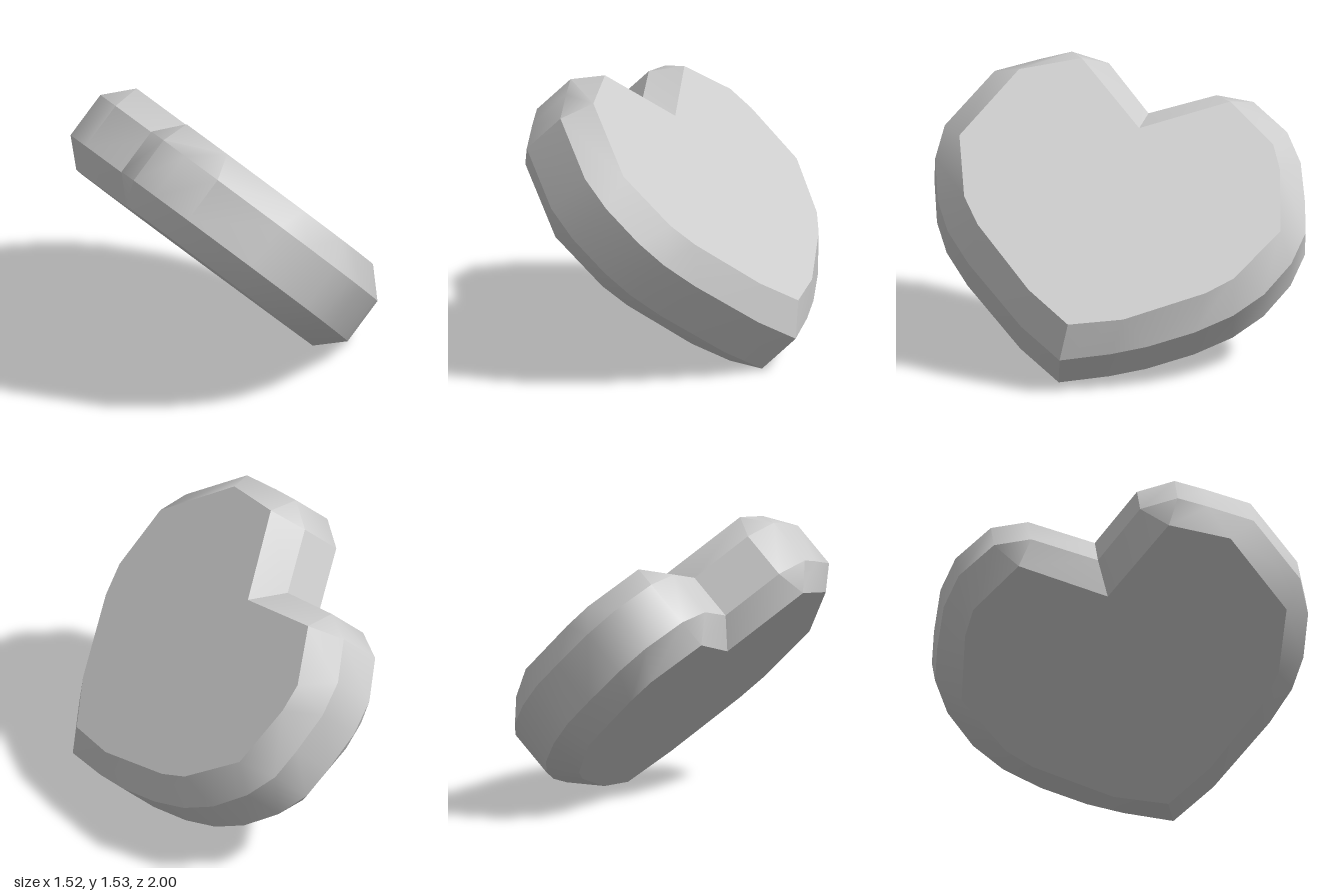
import * as THREE from 'three';
import { toCreasedNormals } from 'three/addons/utils/BufferGeometryUtils.js';

// Heart outline from the tip round: rim z, rim y, matching face z, face y
const outline = [
  [0.345, 0.195, 0.30, 0.40], [0.55, 0.34, 0.51, 0.55], [0.83, 0.61, 0.78, 0.83],
  [0.94, 0.75, 0.85, 0.95], [0.99, 0.88, 0.85, 0.95], [1.0, 1.06, 0.87, 1.21],
  [0.945, 1.2, 0.87, 1.21], [0.67, 1.43, 0.54, 1.49], [0.42, 1.48, 0.54, 1.49],
  [0.25, 1.51, 0.20, 1.535], [0.05, 1.46, 0.20, 1.535], [-0.16, 1.245, -0.105, 1.235],
  [-0.53, 1.32, -0.60, 1.345], [-0.73, 1.29, -0.60, 1.345], [-0.91, 1.16, -0.83, 1.16],
  [-0.98, 1.03, -0.865, 1.05], [-1.0, 0.86, -0.865, 1.05], [-1.0, 0.73, -0.86, 0.79],
  [-0.92, 0.60, -0.86, 0.79], [-0.77, 0.47, -0.60, 0.59], [-0.6, 0.38, -0.60, 0.59],
  [-0.39, 0.31, -0.45, 0.53], [-0.13, 0.25, 0, 0.42], [0.07, 0.22, 0, 0.42],
].reverse();

// The slab leans 45 degrees: each layer lies in a plane x + y = constant
const layer = (column, plane, shift) => outline.map((p) =>
  new THREE.Vector3(plane - p[column + 1] - shift, p[column + 1] - shift, p[column]));

function heartGeometry() {
  const layers = [
    layer(2, 1.155, 0),       // upper face
    layer(0, 0.95, 0),        // upper rim
    layer(0, 0.95, 0.192),    // lower rim
    layer(2, 1.155, 0.388),   // lower face
  ];
  const positions = [];
  const triangle = (a, b, c) => {
    if (a.equals(b) || b.equals(c) || c.equals(a)) return;
    for (const v of [a, b, c]) positions.push(v.x, v.y, v.z);
  };

  // Bevels and side wall
  for (let k = 0; k < 3; k++) {
    const front = layers[k], back = layers[k + 1];
    front.forEach((f, i) => {
      const j = (i + 1) % front.length;
      triangle(back[i], back[j], front[j]);
      triangle(back[i], front[j], f);
    });
  }

  // Flat faces, with the repeated corners dropped
  const distinct = (ring) => ring.filter((v, i) => !v.equals(ring[(i + 1) % ring.length]));
  const top = distinct(layers[0]), bottom = distinct(layers[3]);
  const contour = top.map((v) => new THREE.Vector2(-v.z, v.y));
  for (const [a, b, c] of THREE.ShapeUtils.triangulateShape(contour, [])) {
    triangle(top[a], top[b], top[c]);
    triangle(bottom[c], bottom[b], bottom[a]);
  }

  const geometry = new THREE.BufferGeometry();
  geometry.setAttribute('position', new THREE.Float32BufferAttribute(positions, 3));
  return toCreasedNormals(geometry, 0.6);
}

export function createModel() {
  const group = new THREE.Group();
  group.name = 'tiltedHeart';
  const heart = new THREE.Mesh(heartGeometry(), new THREE.MeshStandardMaterial({ color: 0xcccccc }));
  heart.name = 'heart';
  group.add(heart);
  return group;
}
